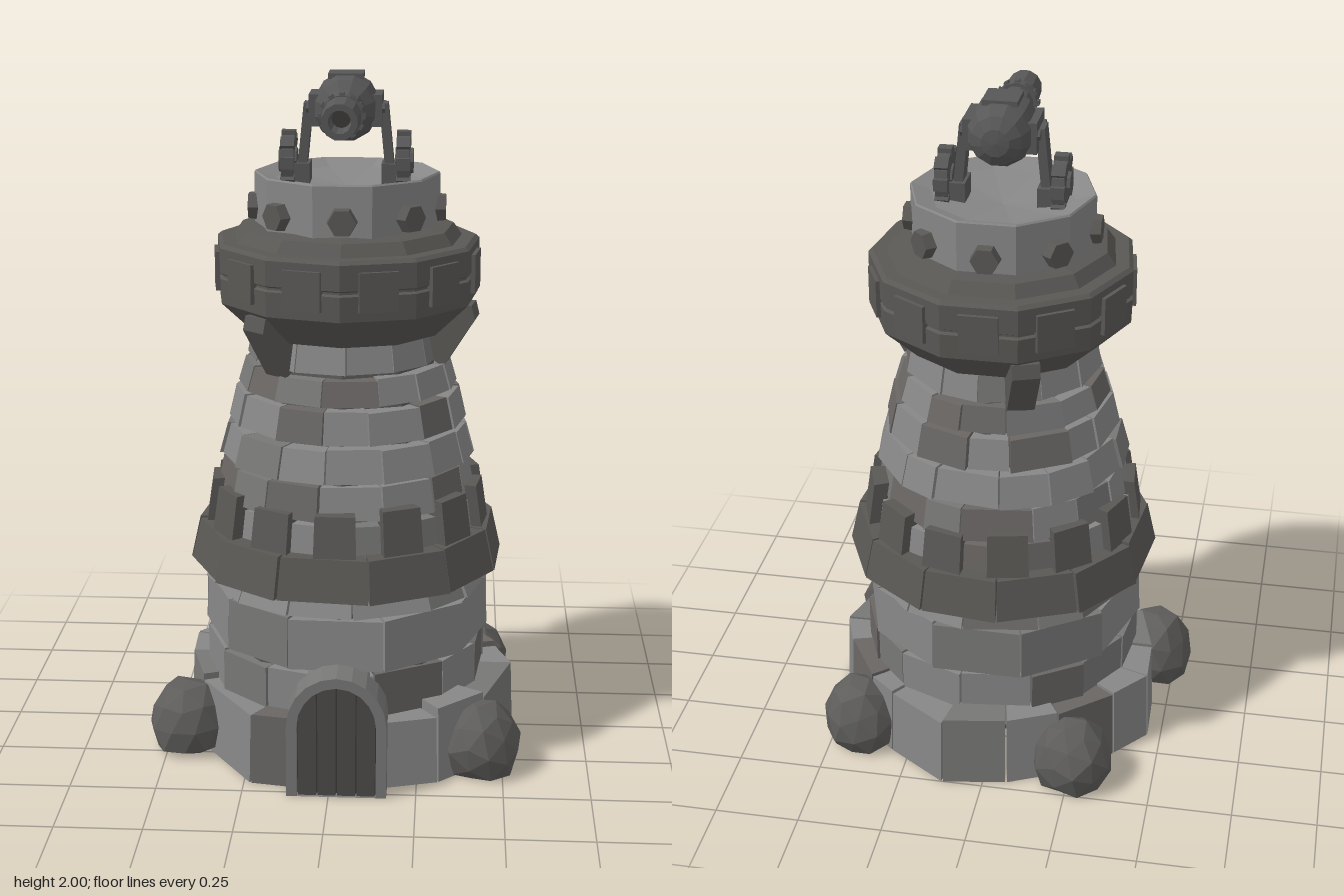
import * as THREE from 'three';

const paint = (name, color) => new THREE.MeshStandardMaterial({ name, color });
const M = {
  light: paint('lightStone', 0x878787),
  mid: paint('midStone', 0x777776),
  brown: paint('brownStone', 0x696664),
  trim: paint('trimStone', 0x5a5855),
  rock: paint('boulderRock', 0x5e5d5b),
  metal: paint('gunMetal', 0x575757),
  wood: paint('doorWood', 0x4c4a48),
  dark: paint('darkGap', 0x3a3938),
};
const TAU = Math.PI * 2;
const rad = THREE.MathUtils.degToRad;

let seed = 7;
const rnd = () => (seed = (seed * 16807) % 2147483647) / 2147483647;
const jit = (a) => (rnd() - 0.5) * 2 * a;

// Faceted mesh added to a parent
function add(parent, name, geo, mat, x = 0, y = 0, z = 0) {
  const g = geo.index ? geo.toNonIndexed() : geo;
  g.computeVertexNormals();
  const m = new THREE.Mesh(g, mat);
  m.name = name;
  m.position.set(x, y, z);
  parent.add(m);
  return m;
}

const points = (pts) => pts.map((p) => new THREE.Vector2(p[0], p[1]));
const lathe = (pts, sides, start = 0) => new THREE.LatheGeometry(points(pts), sides, start);

// Box bent into a wall stone: x -> angle, y -> height, z -> radius; skew scales the far end
function stone(a0, a1, y0, y1, r0, r1, depth = 0.08, skew = 1) {
  const g = new THREE.BoxGeometry(1, 1, 1);
  const p = g.attributes.position;
  for (let i = 0; i < p.count; i++) {
    const far = p.getX(i) > 0;
    const up = p.getY(i) > 0;
    const a = far ? a1 : a0;
    const r = (up ? r1 : r0) * (far ? skew : 1) - (p.getZ(i) > 0 ? 0 : depth);
    p.setXYZ(i, Math.sin(a) * r, up ? y1 : y0, Math.cos(a) * r);
  }
  return g;
}

// Ring of stones with uneven widths and narrow joints
function course(parent, name, n, y0, y1, r0, r1, mats, o = {}) {
  const off = o.off ?? rnd();
  const cuts = Array.from({ length: n }, (_, i) => ((i + off + jit(o.wobble ?? 0.17)) / n) * TAU);
  cuts.push(cuts[0] + TAU);
  for (let i = 0; i < n; i++) {
    const d = jit(o.push ?? 0.007);
    const mat = mats[Math.floor(rnd() * mats.length)];
    add(parent, name, stone(cuts[i] + 0.006, cuts[i + 1] - 0.006, y0, y1 - rnd() * 0.006, r0 + d, r1 + d), mat);
  }
}

function buildTower() {
  const t = new THREE.Group();
  t.name = 'tower';
  // Inner wall behind the joints
  add(t, 'wallCore', lathe([[0, 0.12], [0.4, 0.12], [0.395, 0.5], [0.35, 0.69], [0.335, 0.88], [0.27, 1.17], [0.25, 1.3]], 10), M.trim);

  // Rough footing slabs following an uneven outline, from the front round by the left side
  const outline = [[0.14, 0.447], [0.29, 0.4], [0.425, 0.268], [0.511, -0.01], [0.463, -0.144], [0.355, -0.323],
    [0.275, -0.39], [0.093, -0.51], [-0.098, -0.479], [-0.245, -0.41], [-0.395, -0.28], [-0.485, -0.168],
    [-0.48, -0.01], [-0.425, 0.184], [-0.253, 0.438], [-0.135, 0.459]];
  const walls = [M.light, M.light, M.mid, M.light, M.brown];
  outline.forEach(([x, z], i) => {
    const [x2, z2] = outline[(i + 1) % outline.length];
    const a = Math.atan2(x, z), r = Math.hypot(x, z);
    const turn = (Math.atan2(x2, z2) - a + TAU) % TAU;
    const g = stone(a, a + turn - 0.012, 0, 0.215 + jit(0.015), r, r - 0.008, 0.1, Math.hypot(x2, z2) / r);
    add(t, 'footingStone', g, walls[i % 5]);
  });

  // Wall courses
  course(t, 'lowerBrick', 14, 0.15, 0.335, 0.42, 0.42, walls);
  course(t, 'largeBlock', 10, 0.345, 0.5, 0.43, 0.425, [M.light, M.light, M.mid], { wobble: 0.08, off: 0.5 });
  course(t, 'sillBrick', 13, 0.505, 0.565, 0.425, 0.4, walls);
  const rows = [
    [15, 0.66, 0.77, 0.395, 0.38], [14, 0.78, 0.88, 0.38, 0.362], [15, 0.89, 0.985, 0.375, 0.35],
    [14, 0.995, 1.09, 0.347, 0.325], [14, 1.1, 1.175, 0.322, 0.3], [12, 1.185, 1.29, 0.288, 0.268],
  ];
  for (const r of rows) course(t, 'upperBrick', ...r, walls);

  // Lower parapet with merlons
  course(t, 'parapetStone', 12, 0.565, 0.69, 0.47, 0.442, [M.trim], { wobble: 0.1, push: 0.005 });
  for (let i = 0; i < 13; i++) {
    const a = (i / 13) * TAU - 0.03;
    add(t, 'merlon', stone(a - 0.145, a + 0.145, 0.68, 0.81 + jit(0.01), 0.422, 0.402, 0.06), M.trim);
  }

  // Flared collar with a groove, plates and brackets
  add(t, 'collar', lathe([[0.25, 1.26], [0.285, 1.265], [0.384, 1.36], [0.387, 1.432], [0.378, 1.437], [0.378, 1.443],
    [0.387, 1.448], [0.387, 1.52], [0.375, 1.53], [0.335, 1.53], [0.31, 1.565], [0.25, 1.575]], 11), M.trim);
  for (let i = 0; i < 11; i++) {
    const a = ((i + 0.5) / 11) * TAU;
    const p = add(t, 'collarPlate', new THREE.BoxGeometry(0.112, 0.112, 0.03), M.trim, Math.sin(a) * 0.368, 1.443, Math.cos(a) * 0.368);
    p.rotation.y = a;
  }
  const bracket = new THREE.Shape(points([[0.24, 1.2], [0.295, 1.165], [0.385, 1.31], [0.375, 1.35], [0.24, 1.35]]));
  for (const deg of [-40, 80, 200]) {
    const g = new THREE.ExtrudeGeometry(bracket, { depth: 0.08, bevelEnabled: false }).translate(0, 0, -0.04);
    add(t, 'bracket', g, M.trim).rotation.y = rad(deg - 90);
  }

  // Gun platform with a shallow dish and hex bolts
  add(t, 'platform', lathe([[0.268, 1.55], [0.268, 1.715], [0.264, 1.72], [0.207, 1.7], [0, 1.672]], 10, rad(18)), M.light);
  for (let i = 0; i < 8; i++) {
    const a = (i / 8) * TAU;
    const g = new THREE.CylinderGeometry(0.04, 0.047, 0.06, 6).rotateY(Math.PI / 6).rotateX(Math.PI / 2);
    add(t, 'bolt', g, M.trim, Math.sin(a) * 0.255, 1.617, Math.cos(a) * 0.255).rotation.y = a;
  }
  return t;
}

function buildCannon() {
  const c = new THREE.Group();
  c.name = 'cannon';
  const Y = 1.903;
  // Body and hollow muzzle, turned about the z axis
  const profile = [[0, -0.135], [0.04, -0.13], [0.072, -0.11], [0.09, -0.07], [0.095, -0.04], [0.095, 0.04],
    [0.085, 0.075], [0.06, 0.105], [0.056, 0.12], [0.05, 0.2], [0.057, 0.22], [0.05, 0.345], [0.032, 0.345], [0.028, 0.25], [0, 0.25]];
  add(c, 'barrel', lathe(profile, 12, rad(15)).rotateX(Math.PI / 2), M.metal, 0, Y, 0);
  const band = lathe([[0.045, -0.016], [0.06, -0.016], [0.06, 0.016], [0.045, 0.016]], 12).rotateX(Math.PI / 2);
  add(c, 'barrelBand', band, M.metal, 0, Y, 0.215);
  for (let i = 0; i < 12; i++) {
    const a = (i / 12) * TAU;
    const s = add(c, 'bandStud', new THREE.BoxGeometry(0.014, 0.008, 0.02), M.metal, Math.sin(a) * 0.061, Y + Math.cos(a) * 0.061, 0.215);
    s.rotation.z = -a;
  }
  add(c, 'muzzleBore', new THREE.CircleGeometry(0.027, 12), M.dark, 0, Y, 0.256);
  add(c, 'topPlate', new THREE.BoxGeometry(0.1, 0.016, 0.1), M.metal, 0, 1.992, -0.01);

  const across = (r, w, n) => new THREE.CylinderGeometry(r, r, w, n).rotateZ(Math.PI / 2);
  for (const s of [-1, 1]) {
    // Bolted side plate and carriage leg
    add(c, 'sidePlate', new THREE.BoxGeometry(0.03, 0.09, 0.13), M.metal, s * 0.089, Y - 0.005, 0);
    for (const z of [-0.045, 0.045]) add(c, 'plateBolt', across(0.014, 0.01, 6), M.metal, s * 0.107, Y, z);
    const leg = add(c, 'carriageLeg', new THREE.BoxGeometry(0.026, 0.22, 0.06), M.metal, s * 0.118, 1.805, 0);
    leg.rotation.z = s * 0.1;
    add(c, 'legFoot', new THREE.BoxGeometry(0.045, 0.07, 0.09), M.metal, s * 0.125, 1.71, 0);
    // Wheel with rim teeth and hub
    add(c, 'wheel', across(0.076, 0.036, 12), M.metal, s * 0.165, 1.75, 0);
    add(c, 'wheelHub', across(0.036, 0.052, 8), M.metal, s * 0.167, 1.75, 0);
    for (let i = 0; i < 8; i++) {
      const a = (i / 8) * TAU;
      const tooth = add(c, 'wheelTread', new THREE.BoxGeometry(0.04, 0.02, 0.034), M.metal, s * 0.165, 1.75 + Math.cos(a) * 0.075, Math.sin(a) * 0.075);
      tooth.rotation.x = a;
    }
  }
  return c;
}

// Arch outline: straight jambs and a rounded head
function archPath(target, w, spring, rise) {
  target.moveTo(-w, 0);
  target.lineTo(w, 0);
  target.lineTo(w, spring);
  target.absellipse(0, spring, w, rise, 0, Math.PI, false);
  target.lineTo(-w, 0);
  return target;
}

function buildDoor() {
  const d = new THREE.Group();
  d.name = 'doorway';
  d.position.x = 0.023;
  const frame = archPath(new THREE.Shape(), 0.143, 0.215, 0.15);
  frame.holes.push(archPath(new THREE.Path(), 0.113, 0.215, 0.12));
  add(d, 'doorFrame', new THREE.ExtrudeGeometry(frame, { depth: 0.13, bevelEnabled: false, curveSegments: 5 }), M.mid, 0, 0, 0.395);
  const back = archPath(new THREE.Shape(), 0.115, 0.215, 0.122);
  add(d, 'doorBacking', new THREE.ExtrudeGeometry(back, { depth: 0.09, bevelEnabled: false, curveSegments: 5 }), M.dark, 0, 0, 0.41);
  // Vertical planks cut to the arch
  const top = (x) => 0.213 + 0.12 * Math.sqrt(Math.max(0, 1 - (x / 0.114) ** 2));
  for (let i = 0; i < 4; i++) {
    const x0 = -0.112 + i * 0.056 + 0.002, x1 = x0 + 0.052, xm = (x0 + x1) / 2;
    const s = new THREE.Shape(points([[x0, 0], [x1, 0], [x1, top(x1)], [xm, top(xm)], [x0, top(x0)]]));
    add(d, 'doorPlank', new THREE.ExtrudeGeometry(s, { depth: 0.02, bevelEnabled: false }), M.wood, 0, 0, 0.495);
  }
  return d;
}

// Domed boulder with a broad base resting on the ground
function boulder(rx, rz, turn) {
  const g = new THREE.IcosahedronGeometry(1, 1).rotateX(turn).rotateY(turn * 1.7);
  const p = g.attributes.position;
  for (let i = 0; i < p.count; i++) {
    const x = p.getX(i), y = p.getY(i), z = p.getZ(i);
    const k = 1 + 0.05 * Math.sin(5 * x + 4 * z + 3 * y + turn);
    p.setXYZ(i, x * rx * k, Math.max(0, 0.08 + y * 0.135 * k), z * rz * k);
  }
  return g;
}

export function createModel() {
  const root = new THREE.Group();
  root.name = 'cannonTower';
  const tower = buildTower();
  tower.position.set(0.025, 0, 0.01);
  const cannon = buildCannon();
  cannon.position.set(0.022, 0, 0.005);
  root.add(tower, cannon, buildDoor());

  // Boulders around the foot
  const boulders = [[-0.26, -0.415, 0.12, 0.115, 0.4], [0.41, -0.325, 0.115, 0.122, 1.3],
    [-0.44, 0.2, 0.117, 0.128, 2.2], [0.435, 0.31, 0.117, 0.12, 3.5]];
  for (const [x, z, rx, rz, turn] of boulders) add(root, 'boulder', boulder(rx, rz, turn), M.rock, x, 0, z);
  return root;
}
